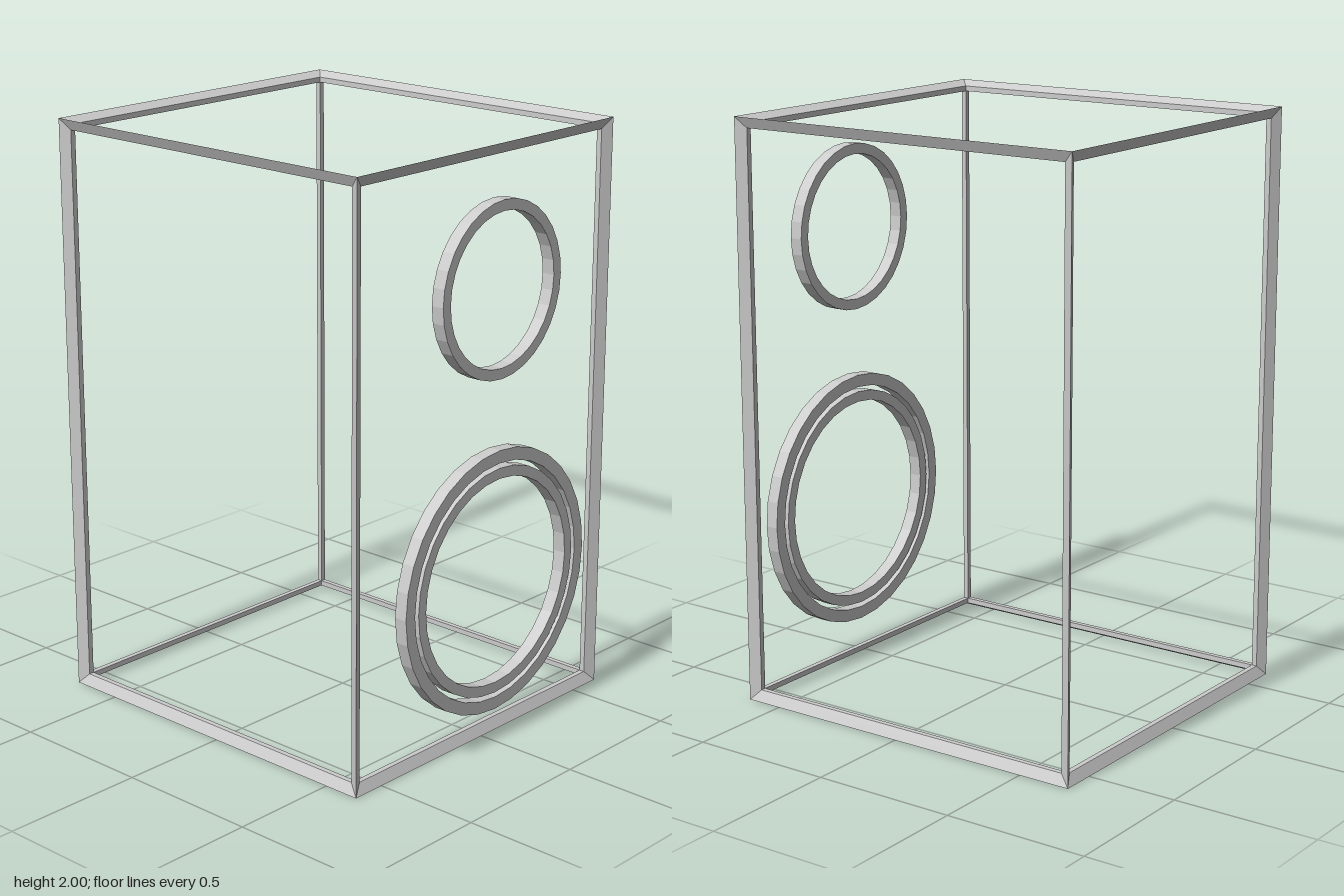
import * as THREE from 'three';

const material = new THREE.MeshStandardMaterial({ color: 0xcccccc, flatShading: true });

// Box made of its twelve edges only; each bar has a kite section with a sharp outer ridge
function edgeFrame(half, h) {
  // section points (b, c, shift along the bar): outer ridge, face inset, inner ridge, face inset
  const section = [[h, h, h], [-h, 0, -h], [-h, -h, -h], [0, -h, -h]];
  const positions = [];
  for (let a = 0; a < 3; a++) {
    const b = (a + 1) % 3, c = (a + 2) % 3;
    for (const sb of [-1, 1]) for (const sc of [-1, 1]) {
      const point = (k, end) => {
        const [db, dc, da] = section[k % 4];
        const p = [0, 0, 0];
        p[a] = end * (half[a] + da);
        p[b] = sb * (half[b] + db);
        p[c] = sc * (half[c] + dc);
        return p;
      };
      for (let k = 0; k < 4; k++) {
        const q = [point(k, -1), point(k + 1, -1), point(k + 1, 1), point(k, 1)];
        if (sb * sc < 0) q.reverse();
        for (const i of [0, 1, 2, 0, 2, 3]) positions.push(...q[i]);
      }
    }
  }
  const geometry = new THREE.BufferGeometry();
  geometry.setAttribute('position', new THREE.Float32BufferAttribute(positions, 3));
  geometry.computeVertexNormals();
  return geometry;
}

// Flat ring with a rectangular section, axis along x
function ring(name, inner, outer, y) {
  const d = 0.0228;
  const profile = [[inner, -d], [outer, -d], [outer, d], [inner, d], [inner, -d]]
    .map(([r, t]) => new THREE.Vector2(r, t));
  const mesh = new THREE.Mesh(new THREE.LatheGeometry(profile, 32).rotateZ(-Math.PI / 2), material);
  mesh.name = name;
  mesh.position.set(0.661, y, 0);
  return mesh;
}

export function createModel() {
  const group = new THREE.Group();
  group.name = 'speaker';

  // Cabinet outline
  const h = 0.0185;
  const frame = new THREE.Mesh(edgeFrame([0.657 - h, 1 - h, 0.621 - h], h), material);
  frame.name = 'cabinetFrame';
  frame.position.set(-0.028, 1, 0);
  group.add(frame);

  // Driver rings standing just off the right-hand panel
  group.add(
    ring('tweeterRing', 0.255, 0.291, 1.547),
    ring('wooferOuterRing', 0.408, 0.451, 0.567),
    ring('wooferInnerRing', 0.355, 0.391, 0.567),
  );
  return group;
}
